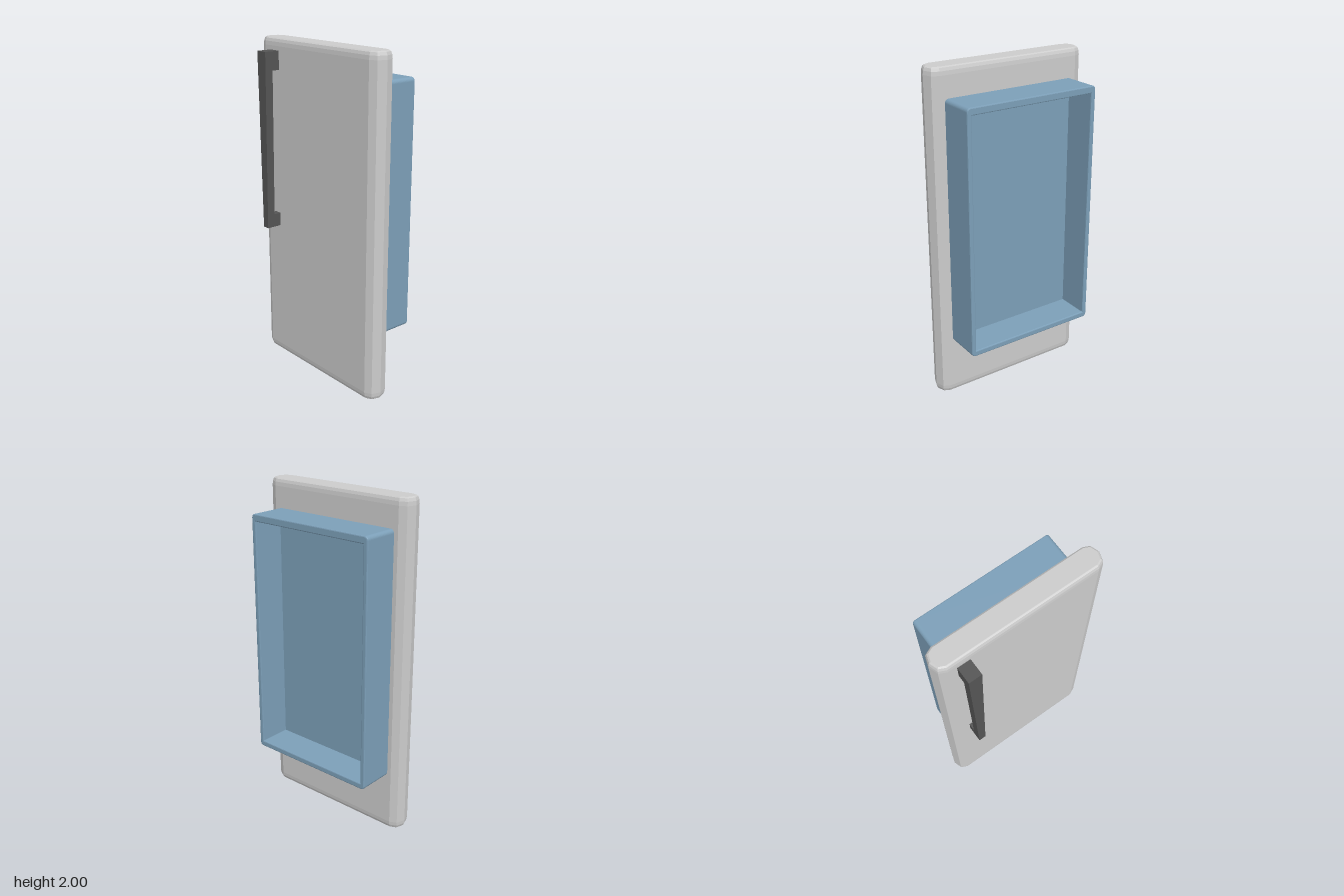
import * as THREE from 'three';

const grey = new THREE.MeshStandardMaterial({ color: 0xcccccc, flatShading: true });
const blue = new THREE.MeshStandardMaterial({ color: 0x7c9fb8 });
const dark = new THREE.MeshStandardMaterial({ color: 0x555555, flatShading: true });

function addPart(group, name, geometry, material) {
  const mesh = new THREE.Mesh(geometry, material);
  mesh.name = name;
  group.add(mesh);
  return mesh;
}

const polygon = points => new THREE.Shape(points.map(([x, y]) => new THREE.Vector2(x, y)));

// Rectangle with rounded corners, given its edges
function roundedRect(x0, y0, x1, y1, r) {
  const s = new THREE.Shape();
  s.absarc(x1 - r, y0 + r, r, -Math.PI / 2, 0);
  s.absarc(x1 - r, y1 - r, r, 0, Math.PI / 2);
  s.absarc(x0 + r, y1 - r, r, Math.PI / 2, Math.PI);
  s.absarc(x0 + r, y0 + r, r, Math.PI, Math.PI * 1.5);
  s.closePath();
  return s;
}

// Slab with faceted ends, extruded upwards and bevelled at top and bottom
function doorGeometry() {
  const mid = 0.0625;
  const half = [[0.445, 0.0725], [0.487, 0.053], [0.505, 0]];
  const right = [...half].reverse().concat(); // tip to front
  const plan = [
    [0.445, -0.0725], [0.487, -0.053], ...right,
    ...half.map(([x, z]) => [-x, z]),
    [-0.487, -0.053], [-0.445, -0.0725],
  ].map(([x, z]) => [x, z - mid]);
  const bevel = 0.045;
  const g = new THREE.ExtrudeGeometry(polygon(plan), {
    depth: 2 - 2 * bevel, bevelThickness: bevel, bevelSize: 0.017, bevelOffset: -0.017, bevelSegments: 3,
  });
  return g.translate(0, 0, bevel).rotateX(-Math.PI / 2);
}

// Open frame forming the four walls of the tray
function trayGeometry() {
  const shape = roundedRect(-0.42, 0.355, 0.42, 1.83, 0.022);
  shape.holes.push(polygon([[-0.392, 0.39], [-0.392, 1.787], [0.392, 1.787], [0.392, 0.39]]));
  const bevel = 0.006;
  const g = new THREE.ExtrudeGeometry(shape, {
    depth: 0.24 - 2 * bevel, bevelThickness: bevel, bevelSize: bevel, bevelOffset: -bevel,
    bevelSegments: 2, curveSegments: 4,
  });
  return g.translate(0, 0, -0.23 + bevel);
}

// Bracket profile extruded sideways, narrowing towards the bottom
function handleGeometry() {
  const profile = [
    [0.13, 0.865], [0.23, 0.865], [0.23, 1.93], [0.13, 1.93],
    [0.13, 1.82], [0.18, 1.82], [0.18, 0.945], [0.13, 0.945],
  ];
  const g = new THREE.ExtrudeGeometry(polygon(profile), { depth: 1, bevelEnabled: false });
  g.translate(0, 0, -0.5).rotateY(-Math.PI / 2);
  const p = g.attributes.position;
  for (let i = 0; i < p.count; i++) {
    const t = (p.getY(i) - 0.865) / 1.065;
    p.setX(i, -0.356 + p.getX(i) * THREE.MathUtils.lerp(0.043, 0.077, t));
  }
  g.computeVertexNormals();
  return g;
}

export function createModel() {
  const model = new THREE.Group();
  model.name = 'door';
  addPart(model, 'doorPanel', doorGeometry(), grey);
  addPart(model, 'handle', handleGeometry(), dark);

  // Shallow tray on the back of the door
  const tray = new THREE.Group();
  tray.name = 'tray';
  addPart(tray, 'trayWalls', trayGeometry(), blue);
  addPart(tray, 'trayFloor', new THREE.BoxGeometry(0.8, 1.42, 0.04), blue).position.set(0, 1.09, -0.01);
  model.add(tray);
  return model;
}
